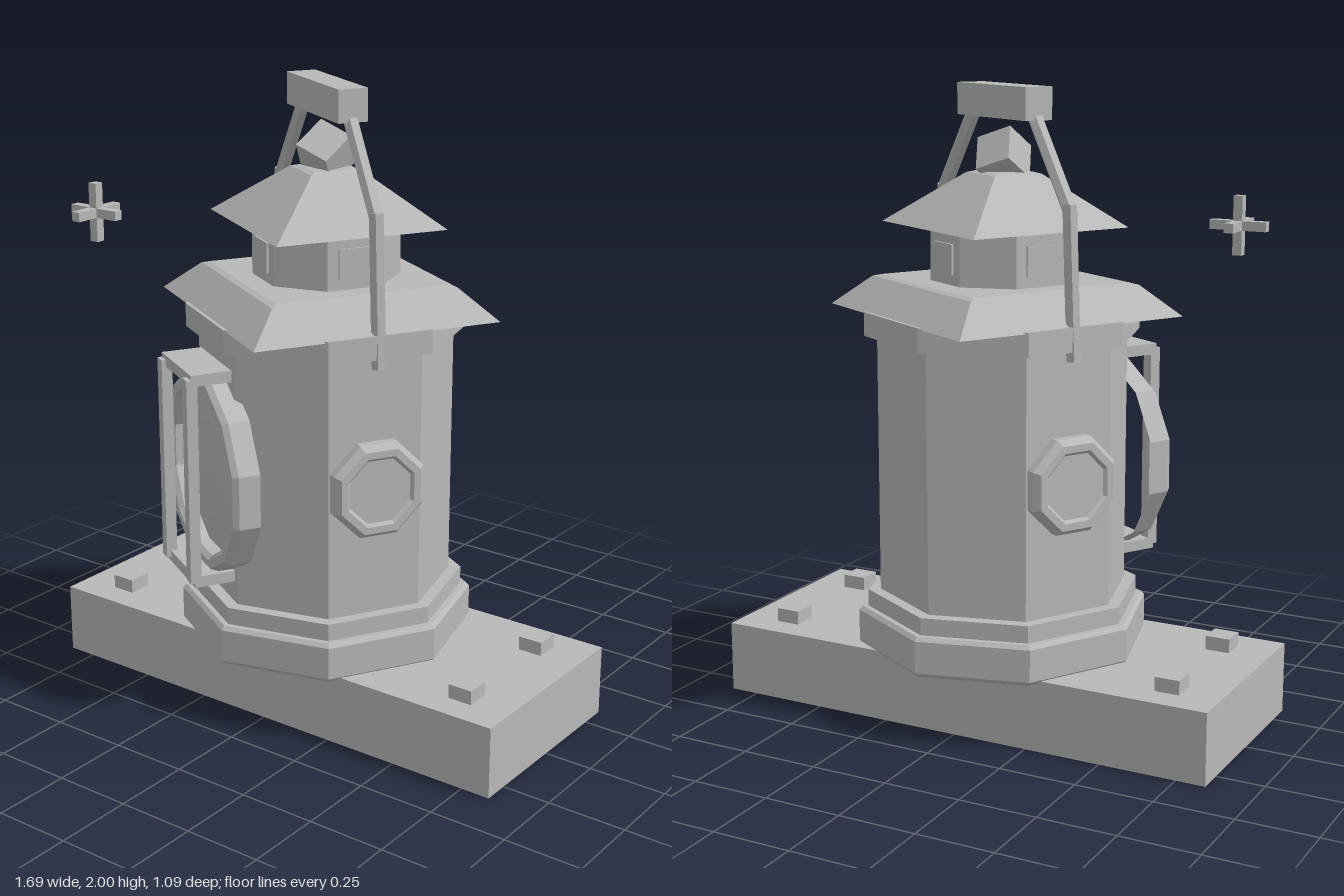
import * as THREE from 'three';

const grey = new THREE.MeshStandardMaterial({ color: 0xb8b8b8 });

// Adds a mesh with hard facets
function add(parent, name, geometry, x = 0, y = 0, z = 0) {
  const g = geometry.index ? geometry.toNonIndexed() : geometry;
  g.computeVertexNormals();
  const mesh = new THREE.Mesh(g, grey);
  mesh.name = name;
  mesh.position.set(x, y, z);
  parent.add(mesh);
  return mesh;
}

const box = (w, h, d) => new THREE.BoxGeometry(w, h, d);

// Faceted turned shape with flats facing the axes
const turned = (sides, profile) => new THREE.LatheGeometry(
  profile.map(([r, y]) => new THREE.Vector2(r, y)), sides, Math.PI / sides);

// Square pyramid frustum from half widths
const roof = (top, bottom, y0, y1) => turned(4, [
  [0, y0], [bottom, y0], [top + 0.01, y1 - 0.006], [top - 0.01, y1], [0, y1],
].map(([r, y]) => [r * Math.SQRT2, y]));

// Rod between two points
function rod(parent, name, a, b, radius) {
  const dir = b.clone().sub(a);
  const mesh = add(parent, name, new THREE.CylinderGeometry(radius, radius, dir.length(), 6));
  mesh.position.copy(a).addScaledVector(dir, 0.5);
  mesh.quaternion.setFromUnitVectors(new THREE.Vector3(0, 1, 0), dir.normalize());
}

export function createModel() {
  const model = new THREE.Group();
  model.name = 'lanternOnBase';

  // Plinth and its four bolts
  add(model, 'plinth', box(1.69, 0.23, 0.67), 0, 0.115, 0);
  for (const x of [-0.68, 0.68])
    for (const z of [-0.205, 0.205]) add(model, 'bolt', box(0.08, 0.05, 0.08), x, 0.25, z);

  // Lantern, turned on the plinth
  const lantern = new THREE.Group();
  lantern.name = 'lantern';
  lantern.rotation.y = -Math.PI / 6;
  model.add(lantern);

  add(lantern, 'foot', turned(8, [[0, 0.22], [0.455, 0.22], [0.47, 0.235], [0.47, 0.338], [0.458, 0.35], [0, 0.35]]));
  add(lantern, 'lowerCollar', turned(8, [[0.3, 0.34], [0.44, 0.34], [0.44, 0.405], [0.3, 0.405]]));
  add(lantern, 'body', turned(8, [[0.4, 0.38], [0.4, 1.26]]));
  add(lantern, 'upperCollar', turned(8, [[0.3, 1.23], [0.44, 1.23], [0.44, 1.305], [0.3, 1.305]]));
  add(lantern, 'lowerRoof', roof(0.293, 0.4, 1.3, 1.4));
  add(lantern, 'chimney', turned(8, [[0.23, 1.38], [0.23, 1.58]]));
  add(lantern, 'upperRoof', roof(0.075, 0.278, 1.57, 1.735));

  // Vents on four sides of the chimney
  for (let i = 0; i < 4; i++) {
    const side = new THREE.Group();
    side.name = 'ventSide';
    side.rotation.y = i * Math.PI / 2;
    lantern.add(side);
    add(side, 'vent', box(0.105, 0.095, 0.02), 0, 1.48, 0.21);
  }

  // Large front lens
  const front = new THREE.Group();
  front.name = 'frontLens';
  front.position.y = 0.805;
  lantern.add(front);
  add(front, 'lensRing', turned(12, [
    [0.325, 0.35], [0.325, 0.418], [0.311, 0.435], [0.282, 0.435], [0.268, 0.42], [0.268, 0.36],
  ]).rotateX(Math.PI / 2));
  add(front, 'lensGlass', turned(12, [[0.275, 0.378], [0.16, 0.392], [0, 0.396]]).rotateX(Math.PI / 2));

  // Guard in front of the lens
  for (const s of [-1, 1]) {
    add(front, 'guardPlate', box(0.27, 0.036, 0.14), 0, s * 0.327 + 0.015, 0.43);
    add(front, 'guardBar', box(0.04, 0.66, 0.035), s * 0.115, 0.015, 0.497);
  }

  // Small lens on each side
  for (const s of [-1, 1]) {
    const side = new THREE.Group();
    side.name = 'sideLens';
    side.position.y = 0.818;
    side.rotation.y = s * Math.PI / 2;
    lantern.add(side);
    add(side, 'sideLensRing', turned(8, [
      [0.16, 0.35], [0.16, 0.398], [0.142, 0.42], [0.118, 0.42], [0.108, 0.41], [0, 0.41],
    ]).rotateX(Math.PI / 2));
  }

  // Carrying handle
  add(lantern, 'handleGrip', box(0.396, 0.1, 0.095), 0, 1.95, 0);
  for (const s of [-1, 1]) {
    const [a, b, c] = [[0.165, 1.925], [0.365, 1.65], [0.392, 1.2]].map(([x, y]) => new THREE.Vector3(s * x, y, 0));
    rod(lantern, 'handleArmUpper', a, b, 0.024);
    rod(lantern, 'handleArmLower', b.clone().add(new THREE.Vector3(0, 0.015, 0)), c, 0.024);
  }

  // Tilted finial block
  const finial = add(model, 'finial', box(0.12, 0.12, 0.12), 0, 1.777, 0);
  finial.rotation.set(0.63, 0, -0.33, 'ZXY');

  // Floating spark of three crossed bars
  const spark = new THREE.Group();
  spark.name = 'spark';
  spark.position.set(-0.65, 1.567, 0.337);
  model.add(spark);
  for (const size of [[0.186, 0.03, 0.03], [0.03, 0.186, 0.03], [0.03, 0.03, 0.186]]) add(spark, 'sparkBar', box(...size));

  return model;
}
